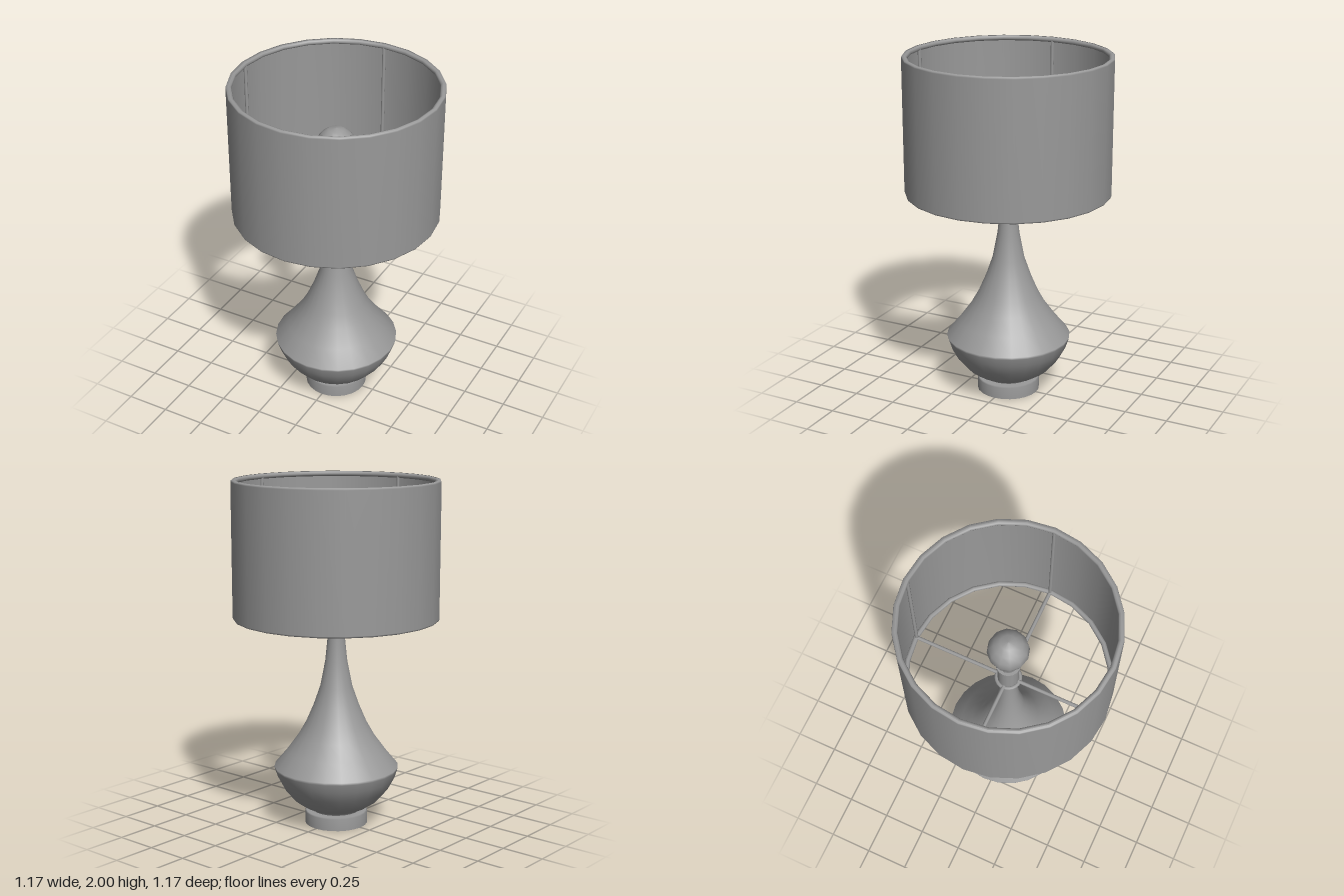
import * as THREE from 'three';

const mat = new THREE.MeshStandardMaterial({ color: 0x999999 });
const openMat = new THREE.MeshStandardMaterial({ color: 0x999999, side: THREE.DoubleSide });

function add(parent, name, geometry, material = mat) {
  const mesh = new THREE.Mesh(geometry, material);
  mesh.name = name;
  parent.add(mesh);
  return mesh;
}

// Profile points are [radius, height], bottom to top
function lathe(points, sides) {
  return new THREE.LatheGeometry(points.map(([r, y]) => new THREE.Vector2(r, y)), sides);
}

export function createModel() {
  const lamp = new THREE.Group();
  lamp.name = 'tableLamp';

  // Foot disc with a softened upper edge
  add(lamp, 'footUnderside', lathe([[0, 0], [0.182, 0]], 24));
  add(lamp, 'foot', lathe([[0.182, 0], [0.182, 0.07], [0.175, 0.077], [0, 0.077]], 24));

  // Body: round bowl turning tightly into a long concave neck
  add(lamp, 'body', lathe([[0.135, 0.075], [0.14, 0.087], [0.19, 0.108], [0.245, 0.145],
    [0.305, 0.215], [0.34, 0.28], [0.357, 0.33], [0.36, 0.345],
    [0.285, 0.435], [0.22, 0.525], [0.175, 0.605], [0.132, 0.705], [0.092, 0.82],
    [0.063, 0.97], [0.05, 1.1], [0.043, 1.22], [0.041, 1.25]], 24));

  // Socket and bulb
  const hub = add(lamp, 'hubRing', new THREE.TorusGeometry(0.066, 0.012, 8, 24));
  hub.rotation.x = Math.PI / 2;
  hub.position.y = 1.227;
  const socket = add(lamp, 'socket', new THREE.CylinderGeometry(0.06, 0.06, 0.19, 16));
  socket.position.y = 1.32;
  const flange = add(lamp, 'socketFlange', new THREE.CylinderGeometry(0.068, 0.068, 0.018, 16));
  flange.position.y = 1.412;
  add(lamp, 'bulb', lathe([[0.05, 1.41], [0.054, 1.46], [0.072, 1.52], [0.1, 1.57], [0.115, 1.625],
    [0.106, 1.67], [0.08, 1.705], [0.044, 1.73], [0, 1.738]], 12));

  // Shade, its wall rolled in slightly at both ends
  add(lamp, 'shade', lathe([[0.574, 1.213], [0.584, 1.216], [0.587, 1.224],
    [0.587, 1.989], [0.584, 1.997], [0.574, 2]], 24), openMat);

  // Wire frame: two rims, four spokes and four uprights
  for (const y of [1.229, 1.984]) {
    const rim = add(lamp, 'shadeRim', new THREE.TorusGeometry(0.57, 0.015, 8, 24));
    rim.rotation.x = Math.PI / 2;
    rim.position.y = y;
  }
  for (let i = 0; i < 4; i++) {
    const arm = new THREE.Group();
    arm.name = 'frameArm';
    arm.rotation.y = i * Math.PI / 2;
    const spoke = add(arm, 'spoke', new THREE.CylinderGeometry(0.011, 0.011, 0.51, 8));
    spoke.rotation.z = Math.PI / 2;
    spoke.position.set(0.315, 1.23, 0);
    const upright = add(arm, 'upright', new THREE.CylinderGeometry(0.01, 0.01, 0.75, 8));
    upright.position.set(0.566, 1.607, 0);
    lamp.add(arm);
  }
  return lamp;
}
